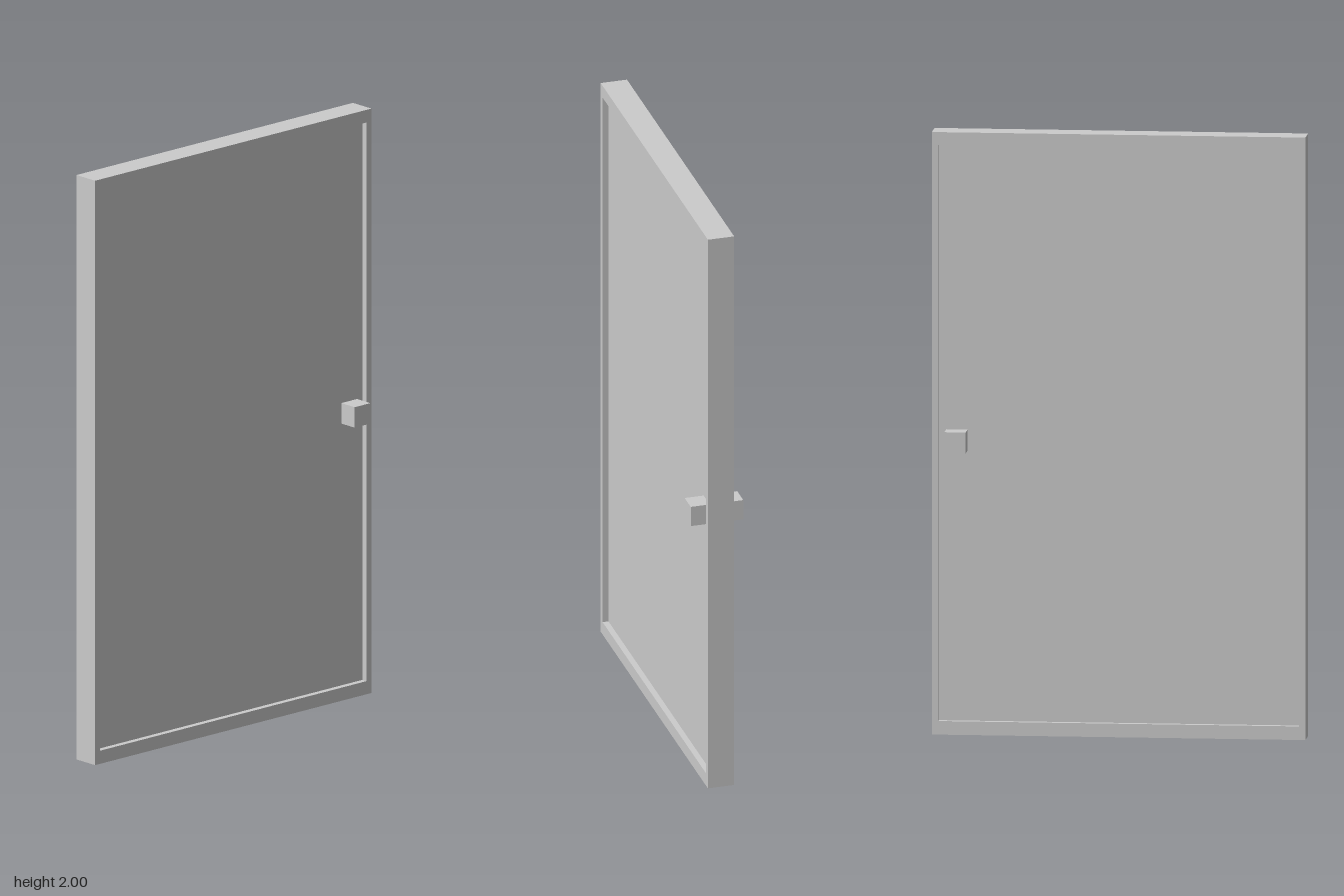
import * as THREE from 'three';

const material = new THREE.MeshStandardMaterial({ color: 0xcccccc, flatShading: true });

function box(name, w, h, d, x, y, z) {
  const mesh = new THREE.Mesh(new THREE.BoxGeometry(w, h, d), material);
  mesh.name = name;
  mesh.position.set(x, y, z);
  return mesh;
}

export function createModel() {
  const group = new THREE.Group();
  group.name = 'door';

  const halfWidth = 0.616, height = 2, thickness = 0.09;
  const inner = 0.594, bottom = 0.045, top = 1.957;
  const panelThickness = 0.05;

  // Rectangular frame with an opening, extruded through its thickness
  const outline = new THREE.Shape([
    new THREE.Vector2(-halfWidth, 0), new THREE.Vector2(halfWidth, 0),
    new THREE.Vector2(halfWidth, height), new THREE.Vector2(-halfWidth, height),
  ]);
  outline.holes.push(new THREE.Path([
    new THREE.Vector2(-inner, bottom), new THREE.Vector2(-inner, top),
    new THREE.Vector2(inner, top), new THREE.Vector2(inner, bottom),
  ]));
  const frameGeometry = new THREE.ExtrudeGeometry(outline, { depth: thickness, bevelEnabled: false });
  frameGeometry.translate(0, 0, -thickness / 2);
  frameGeometry.rotateY(Math.PI / 2);
  const frame = new THREE.Mesh(frameGeometry, material);
  frame.name = 'frame';
  group.add(frame);

  // Panel recessed on both faces
  group.add(box('panel', panelThickness, top - bottom, inner * 2, 0, (top + bottom) / 2, 0));

  // Square knob on each face, seated on the panel
  const knobLength = 0.09 - panelThickness / 2;
  for (const side of [1, -1]) {
    const x = side * (panelThickness / 2 + knobLength / 2);
    group.add(box(side > 0 ? 'leftKnob' : 'rightKnob', knobLength, 0.07, 0.07, x, 0.976, -0.535));
  }
  return group;
}
